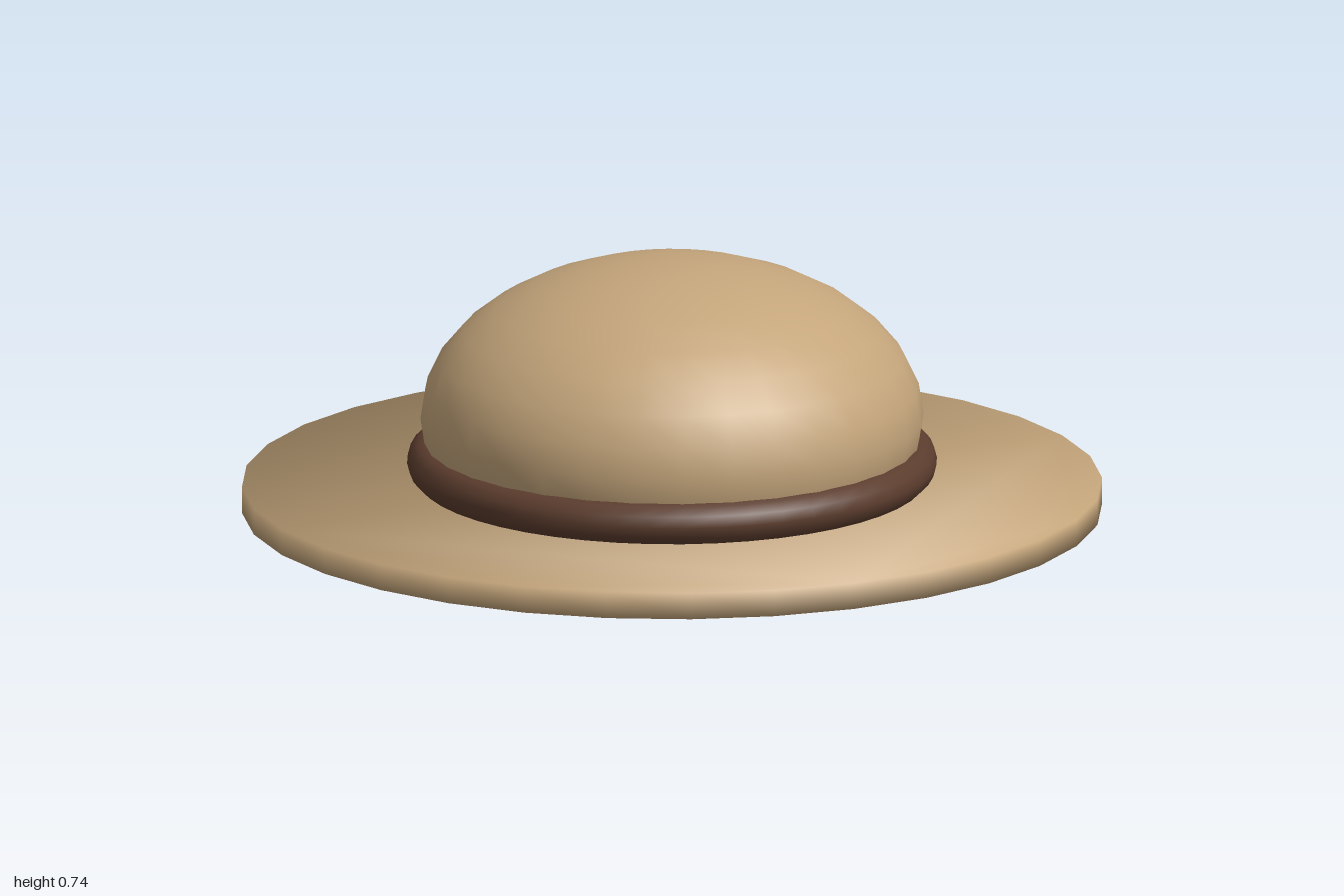
import * as THREE from 'three';

const tan = new THREE.MeshStandardMaterial({ color: 0xc4a57b });
tan.name = 'tan felt';
const brown = new THREE.MeshStandardMaterial({ color: 0x5c3d2e });
brown.name = 'brown band';

// Disc without centre vertices, its normals leaning outward for a soft rim
function softDisc(radius, height, sides) {
  const points = [];
  for (let i = 0; i < sides; i++) {
    const a = (i / sides) * Math.PI * 2;
    points.push(new THREE.Vector2(Math.cos(a) * radius, Math.sin(a) * radius));
  }
  const geometry = new THREE.ExtrudeGeometry(new THREE.Shape(points), {
    depth: height, bevelEnabled: false,
  });
  geometry.translate(0, 0, -height / 2);
  geometry.rotateX(-Math.PI / 2);
  const pos = geometry.attributes.position;
  const n = new THREE.Vector3();
  for (let i = 0; i < pos.count; i++) {
    n.set(pos.getX(i) / radius, Math.sign(pos.getY(i)), pos.getZ(i) / radius).normalize();
    geometry.attributes.normal.setXYZ(i, n.x, n.y, n.z);
  }
  return geometry;
}

export function createModel() {
  const hat = new THREE.Group();
  hat.name = 'hat';

  function add(name, geometry, material, y) {
    const mesh = new THREE.Mesh(geometry, material);
    mesh.name = name;
    mesh.position.y = y;
    hat.add(mesh);
  }

  // Wide flat brim
  add('brim', softDisc(1, 0.062, 32), tan, 0.179);

  // Flattened ball crown, its underside showing below the brim
  const crown = new THREE.SphereGeometry(0.585, 32, 16);
  crown.scale(1, 0.37 / 0.585, 1);
  add('crown', crown, tan, 0.37);

  // Rounded band around the crown
  const band = new THREE.TorusGeometry(0.565, 0.051, 12, 48);
  band.rotateX(-Math.PI / 2);
  add('hatBand', band, brown, 0.263);

  return hat;
}
